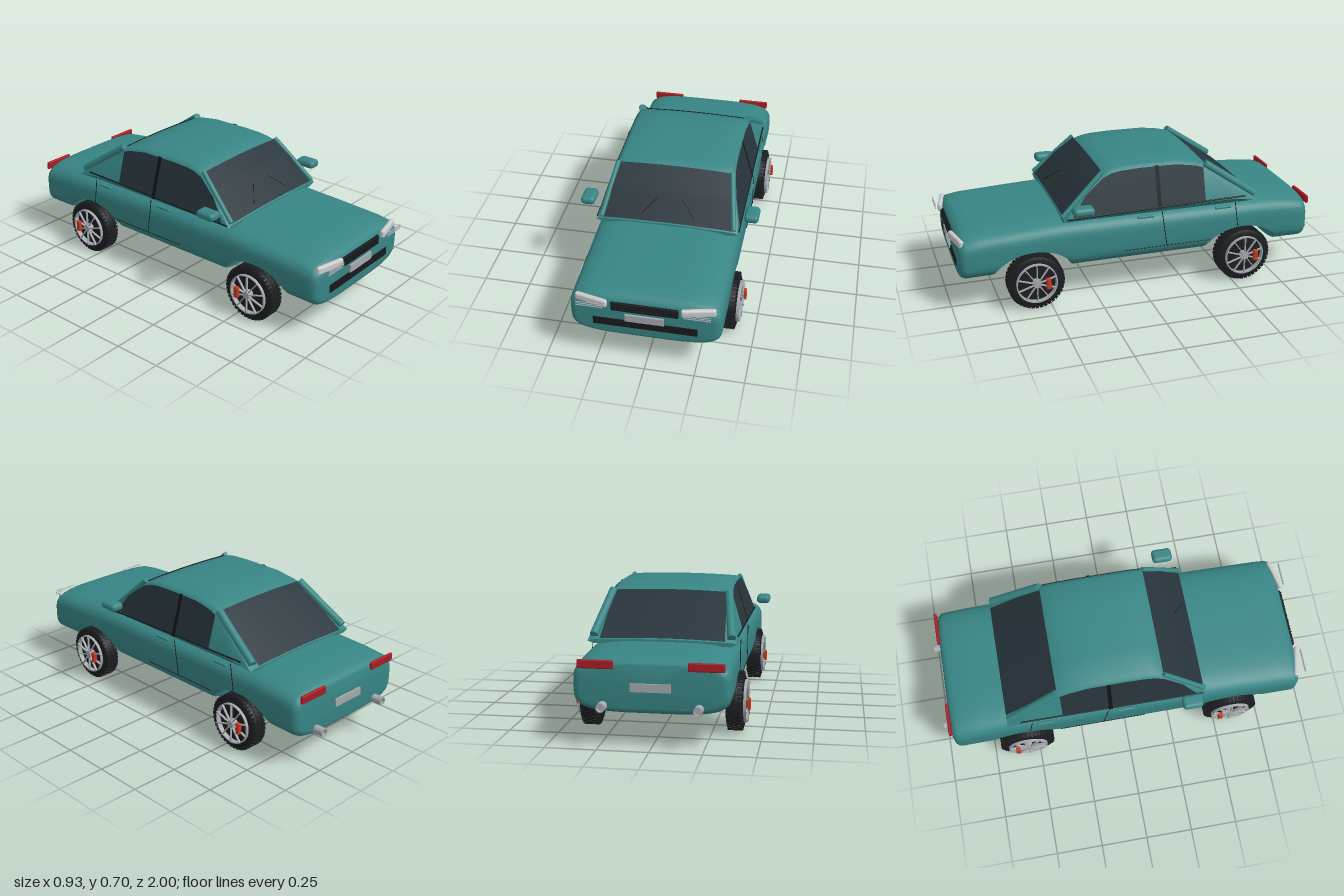
import * as THREE from 'three';
import { toCreasedNormals } from 'three/addons/utils/BufferGeometryUtils.js';
import { RoundedBoxGeometry } from 'three/addons/geometries/RoundedBoxGeometry.js';

const mat = (color, side = THREE.FrontSide) => new THREE.MeshStandardMaterial({ color, side });
const paint = mat(0x388585), glass = mat(0x27343b, THREE.DoubleSide), black = mat(0x16191c);
const rubber = mat(0x1b1d20), silver = mat(0xa4a9ad), chrome = mat(0xdcdcdc);
const red = mat(0xa81c26), brakeRed = mat(0xc63a22);

// height along z, linear between [z, y] points listed from front to back
function along(points, z) {
  if (z >= points[0][0]) return points[0][1];
  for (let i = 1; i < points.length; i++) {
    const [za, ya] = points[i - 1], [zb, yb] = points[i];
    if (z >= zb) return ya + (yb - ya) * (z - za) / (zb - za);
  }
  return points[points.length - 1][1];
}
const deckLine = [[0.965, 0.405], [0.92, 0.421], [0.85, 0.432], [0.6, 0.446], [0.41, 0.455],
  [-0.64, 0.452], [-0.8, 0.443], [-0.9, 0.43], [-0.945, 0.42]];
const roofLine = [[0.42, 0.455], [0.3, 0.585], [0.2, 0.662], [0.15, 0.68], [0.1, 0.687], [0, 0.691],
  [-0.2, 0.689], [-0.3, 0.673], [-0.36, 0.655], [-0.64, 0.455]];
const cabinHalf = y => 0.37 - 0.07 * (y - 0.455) / 0.24;
const FRONT = 0.96, BACK = -0.945, SILL = 0.165, WHEELS = [0.58, -0.56];

// skin over counter-clockwise loops running from +z to -z, with both ends capped
function loft(loops) {
  const n = loops[0].length, pos = loops.flat(2), index = [];
  for (let i = 0; i < loops.length - 1; i++) for (let j = 0; j < n; j++) {
    const a = i * n + j, b = i * n + (j + 1) % n;
    index.push(a, a + n, b, b, a + n, b + n);
  }
  [0, loops.length - 1].forEach((row, end) => {
    const c = pos.length / 3, mid = [0, 1, 2].map(k => loops[row].reduce((s, p) => s + p[k], 0) / n);
    pos.push(...mid);
    for (let j = 0; j < n; j++) {
      const a = row * n + j, b = row * n + (j + 1) % n;
      index.push(c, end ? b : a, end ? a : b);
    }
  });
  const g = new THREE.BufferGeometry();
  g.setAttribute('position', new THREE.Float32BufferAttribute(pos, 3));
  g.setIndex(index);
  return toCreasedNormals(g, 0.6);
}

// lower body: superellipse sections, cut from below by the wheel arches
function bodyGeometry() {
  const zs = [0.85, 0.3, 0.2, 0, -0.2, -0.3, -0.8, -0.85], r = 0.04;
  for (let i = 0; i <= 6; i++) {
    const d = r * (1 - Math.cos(i / 6 * Math.PI / 2));
    zs.push(FRONT - d, BACK + d);
  }
  for (const c of WHEELS) for (let i = 0; i <= 20; i++) zs.push(c + 0.21 * Math.cos(i / 20 * Math.PI));
  zs.sort((a, b) => b - a);
  return loft(zs.map(z => {
    const d = Math.min(FRONT - z, z - BACK, r), inset = r - Math.sqrt(Math.max(0, r * r - (r - d) ** 2));
    const top = along(deckLine, z), mid = (top + SILL) / 2, hh = (top - SILL) / 2 - inset * 0.7, hw = 0.375 - inset;
    let arch = 0;
    for (const c of WHEELS) {
      const t = (z - c) / 0.21;
      if (Math.abs(t) < 1) arch = SILL + 0.14 * Math.sqrt(1 - t * t);
    }
    return Array.from({ length: 96 }, (_, j) => {
      const a = (j + 0.5) / 96 * Math.PI * 2, c = Math.cos(a), s = Math.sin(a);
      return [hw * Math.sign(c) * Math.sqrt(Math.abs(c)), Math.max(arch, mid + hh * Math.sign(s) * Math.sqrt(Math.abs(s))), z];
    });
  }));
}

// cabin: tapered sections with a rounded shoulder and a slight crown
function cabinGeometry() {
  const zs = [...roofLine.map(p => p[0]), 0.36, 0.25, -0.1, -0.5].sort((a, b) => b - a);
  return loft(zs.map(z => {
    const h = along(roofLine, z), belt = Math.min(0.465, h - 0.008), sh = Math.max(h - 0.02, belt + 0.002);
    const half = [[0.34, 0.435], [cabinHalf(belt), belt], [cabinHalf(sh), sh],
      [cabinHalf(h) - 0.006, h - 0.007], [cabinHalf(h) - 0.02, h], [0.15, h + 0.006]];
    return [...half.map(([x, y]) => [x, y, z]), [0, h + 0.008, z], ...half.reverse().map(([x, y]) => [-x, y, z])];
  }));
}

// window pane lying just above the cabin between two z positions
function paneGeometry(z0, z1, halfLow, halfHigh) {
  const g = new THREE.PlaneGeometry(2, 1, 12, 12), p = g.attributes.position;
  for (let i = 0; i < p.count; i++) {
    const u = p.getX(i), t = p.getY(i) + 0.5, z = z0 + (z1 - z0) * t;
    p.setXYZ(i, u * (halfLow + (halfHigh - halfLow) * t), along(roofLine, z) + 0.006 + 0.008 * (1 - u * u), z);
  }
  g.computeVertexNormals();
  return g;
}

// flat outline in (z, y) laid on the sloping cabin side
function sidePane(outline, s, offset) {
  const g = new THREE.ShapeGeometry(new THREE.Shape(outline.map(([z, y]) => new THREE.Vector2(z, y))));
  const p = g.attributes.position;
  for (let i = 0; i < p.count; i++) p.setXYZ(i, s * (cabinHalf(p.getY(i)) + offset), p.getY(i), p.getX(i));
  g.computeVertexNormals();
  return g;
}

function add(parent, name, geometry, material, x = 0, y = 0, z = 0) {
  const m = new THREE.Mesh(geometry, material);
  m.name = name;
  m.position.set(x, y, z);
  parent.add(m);
  return m;
}
const box = (w, h, d) => new THREE.BoxGeometry(w, h, d);
const rounded = (w, h, d, r) => new RoundedBoxGeometry(w, h, d, 3, r);

function bar(parent, name, a, b, radius, material) {
  const A = new THREE.Vector3(...a), B = new THREE.Vector3(...b), dir = B.clone().sub(A);
  const m = add(parent, name, new THREE.CylinderGeometry(radius, radius, dir.length(), 14), material);
  m.position.copy(A).add(B).multiplyScalar(0.5);
  m.quaternion.setFromUnitVectors(new THREE.Vector3(0, 1, 0), dir.normalize());
}

// wheel with its axle along local y, the outer face at +y
function makeWheel(s, z) {
  const wheel = new THREE.Group();
  wheel.name = 'wheel';
  const profile = [[0, -0.042], [0.125, -0.042], [0.139, -0.036], [0.144, -0.026], [0.144, 0.026],
    [0.139, 0.036], [0.125, 0.042], [0.108, 0.042], [0.104, 0.03], [0, 0.03]].map(p => new THREE.Vector2(...p));
  add(wheel, 'tyre', toCreasedNormals(new THREE.LatheGeometry(profile, 48), 0.6), rubber);
  for (let i = 0; i < 40; i++) for (const row of [-1, 0, 1]) {
    const a = (i + (row ? 0 : 0.5)) / 40 * Math.PI * 2;
    const block = add(wheel, 'treadBlock', box(0.008, 0.021, 0.016), rubber, Math.cos(a) * 0.144, row * 0.025, -Math.sin(a) * 0.144);
    block.rotation.y = a;
  }
  const ring = [[0.101, 0.03], [0.107, 0.03], [0.107, 0.056], [0.101, 0.056], [0.101, 0.03]].map(p => new THREE.Vector2(...p));
  add(wheel, 'rim', toCreasedNormals(new THREE.LatheGeometry(ring, 48), 0.6), silver);
  add(wheel, 'hub', new THREE.CylinderGeometry(0.02, 0.022, 0.034, 20), silver, 0, 0.047, 0);
  for (let i = 0; i < 10; i++) {
    const a = i / 10 * Math.PI * 2;
    const spoke = add(wheel, 'spoke', box(0.09, 0.012, 0.005), silver, Math.cos(a) * 0.06, 0.056, -Math.sin(a) * 0.06);
    spoke.rotation.y = a;
  }
  // the axle turn maps local x to -s*y, so the caliper is placed behind the hub
  add(wheel, 'brakeCaliper', rounded(0.06, 0.022, 0.024, 0.004), brakeRed, 0, 0.064, -0.058);
  wheel.rotation.z = -s * Math.PI / 2;
  wheel.position.set(s * 0.363, 0.15, z);
  return wheel;
}

export function createModel() {
  const car = new THREE.Group();
  car.name = 'car';
  add(car, 'body', bodyGeometry(), paint);
  add(car, 'cabin', cabinGeometry(), paint);
  add(car, 'windscreen', paneGeometry(0.418, 0.2, 0.335, 0.29), glass);
  add(car, 'rearWindow', paneGeometry(-0.64, -0.357, 0.31, 0.29), glass);

  // side window outline follows the roof
  const win = [[-0.345, 0.47], [0.375, 0.467]];
  for (const z of [0.3, 0.2, 0.15, 0.1, 0, -0.2, -0.3, -0.345]) win.push([z, along(roofLine, z) - 0.016]);

  for (const s of [1, -1]) {
    add(car, 'sideWindow', sidePane(win, s, 0.003), glass);
    add(car, 'doorPillar', sidePane([[-0.1, 0.46], [-0.078, 0.46], [-0.078, 0.68], [-0.1, 0.68]], s, 0.006), black).material = mat(0x101214, THREE.DoubleSide);
    bar(car, 'beltTrim', [s * 0.37, 0.459, 0.41], [s * 0.368, 0.476, -0.57], 0.004, black);
    bar(car, 'frontPillar', [s * 0.345, 0.47, 0.42], [s * 0.3, 0.672, 0.2], 0.013, paint);
    bar(car, 'rearPillar', [s * 0.342, 0.476, -0.628], [s * 0.3, 0.66, -0.357], 0.021, paint);
    bar(car, 'wiper', [s * 0.14, 0.497, 0.402], [s * 0.065, 0.567, 0.338], 0.002, black);

    // doors
    bar(car, 'doorSeam', [s * 0.376, 0.45, -0.1], [s * 0.376, 0.25, -0.13], 0.002, black);
    bar(car, 'doorSeam', [s * 0.376, 0.45, -0.51], [s * 0.376, 0.31, -0.53], 0.002, black);
    bar(car, 'doorSeam', [s * 0.374, 0.25, 0.1], [s * 0.374, 0.25, -0.37], 0.0018, black);
    for (const z of [-0.01, -0.44]) add(car, 'doorHandle', rounded(0.018, 0.014, 0.09, 0.006), paint, s * 0.378, 0.43, z);
    add(car, 'mirror', rounded(0.074, 0.044, 0.11, 0.02), paint, s * 0.427, 0.524, 0.337);

    // lamps and exhausts
    add(car, 'headlight', rounded(0.168, 0.043, 0.026, 0.012), chrome, s * 0.262, 0.381, 0.957).rotation.y = s * 0.22;
    for (const y of [0.371, 0.381, 0.391]) {
      add(car, 'headlightSlat', box(0.13, 0.003, 0.004), silver, s * 0.262, y, 0.996);
    }
    add(car, 'tailLight', rounded(0.172, 0.042, 0.016, 0.006), red, s * 0.262, 0.4, -0.948);
    const pipe = [[0, 0.03], [0.017, 0.03], [0.017, 0.05], [0.022, 0.05], [0.022, -0.05], [0, -0.05]];
    const exhaust = add(car, 'exhaust', toCreasedNormals(new THREE.LatheGeometry(pipe.map(p => new THREE.Vector2(...p)).reverse(), 20), 0.6), silver, s * 0.228, 0.203, -0.95);
    exhaust.rotation.x = -Math.PI / 2;
    for (const z of WHEELS) car.add(makeWheel(s, z));
  }

  // grille, intake and blank plates
  add(car, 'grille', rounded(0.33, 0.05, 0.016, 0.005), black, 0, 0.36, 0.961);
  for (let i = 0; i < 19; i++) add(car, 'grilleBar', box(0.004, 0.04, 0.006), rubber, (i - 9) * 0.017, 0.36, 0.971);
  for (const y of [0.35, 0.37]) add(car, 'grilleRail', box(0.31, 0.003, 0.005), rubber, 0, y, 0.971);
  add(car, 'lowerIntake', box(0.515, 0.043, 0.012), black, 0, 0.255, 0.958);
  add(car, 'frontPlate', box(0.192, 0.04, 0.01), silver, 0, 0.3, 0.968);
  add(car, 'rearPlate', box(0.192, 0.04, 0.01), silver, 0, 0.295, -0.951);
  return car;
}
